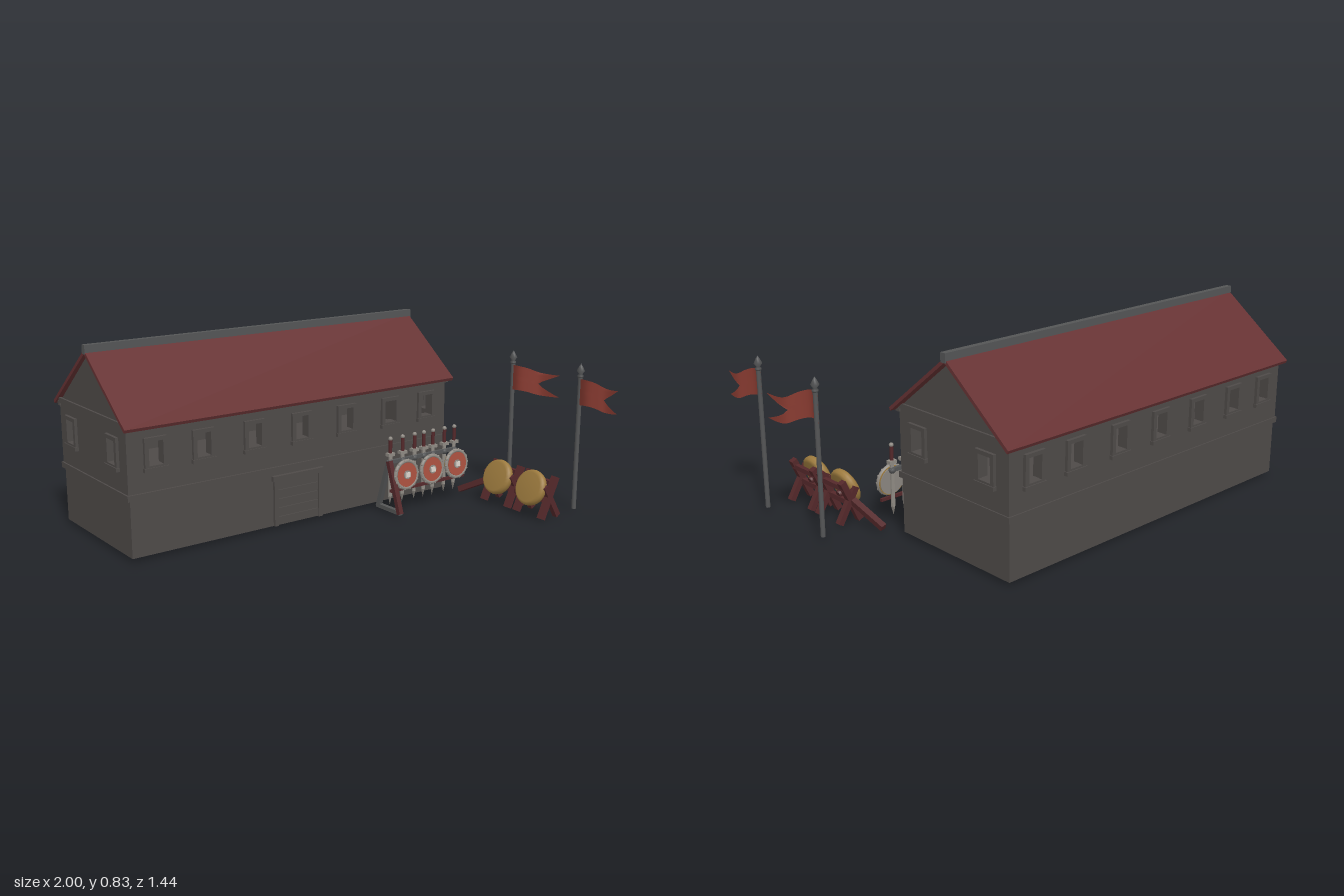
import * as THREE from 'three';

const mat = (name, color, side = THREE.FrontSide) => {
  const m = new THREE.MeshStandardMaterial({ color, side });
  m.name = name;
  return m;
};
const V = (x, y, z) => new THREE.Vector3(x, y, z);

export function createModel() {
  const root = new THREE.Group();
  root.name = 'longhouseYard';
  const stone = mat('wallGrey', 0x4e4a48);
  const roofRed = mat('roofRed', 0x663233);
  const iron = mat('ironGrey', 0x545556);
  const wood = mat('darkRedWood', 0x54282a);
  const straw = mat('straw', 0x9c7a3e);
  const cloth = mat('flagRed', 0x873a30, THREE.DoubleSide);
  const paint = mat('shieldRed', 0xa9503f);
  const steel = mat('paleSteel', 0x8f8a83);
  const ivory = mat('ivory', 0xd8d2c8);

  const add = (name, geo, m, x = 0, y = 0, z = 0, parent = root) => {
    const mesh = new THREE.Mesh(geo, m);
    mesh.name = name;
    mesh.position.set(x, y, z);
    parent.add(mesh);
    return mesh;
  };
  const group = (name, x = 0, y = 0, z = 0) => {
    const g = new THREE.Group();
    g.name = name;
    g.position.set(x, y, z);
    root.add(g);
    return g;
  };
  // box given by its extents
  const block = (name, m, x0, x1, y0, y1, z0, z1, parent = root) =>
    add(name, new THREE.BoxGeometry(x1 - x0, y1 - y0, z1 - z0), m, (x0 + x1) / 2, (y0 + y1) / 2, (z0 + z1) / 2, parent);
  // square beam between two points
  const beam = (name, m, a, b, w) => {
    const mid = a.clone().add(b).multiplyScalar(0.5);
    const mesh = add(name, new THREE.BoxGeometry(w, a.distanceTo(b), w), m, mid.x, mid.y, mid.z);
    mesh.quaternion.setFromUnitVectors(V(0, 1, 0), b.clone().sub(a).normalize());
    return mesh;
  };
  const poly = (pts) => new THREE.Shape(pts.map(([x, y]) => new THREE.Vector2(x, y)));
  const rect = (x0, x1, y0, y1) => poly([[x0, y0], [x1, y0], [x1, y1], [x0, y1]]);
  const extrude = (shape, depth) => new THREE.ExtrudeGeometry(shape, { depth, bevelEnabled: false });

  // ---- Lower storey, with a recess behind the door ----
  const C = -0.38, X0 = -0.98, X1 = 0.65;
  const plan = rect(X0, X1, 0.07, 0.685);
  plan.holes.push(rect(-0.32, -0.08, 0.1, 0.4));
  const lower = extrude(plan, 0.24);
  lower.rotateX(-Math.PI / 2);
  add('lowerStorey', lower, stone, 0, 0.013, 0);
  block('recessCeiling', stone, -0.33, -0.07, 0.22, 0.25, -0.41, -0.09);
  block('stringCourse', stone, X0 - 0.012, X1 + 0.012, 0.25, 0.275, -0.695, -0.063);

  // ---- Upper storey walls with window openings ----
  const wy0 = 0.382, wy1 = 0.48, hw = 0.034;
  const frontWindows = [-0.863, -0.647, -0.404, -0.166, 0.075, 0.323, 0.537];
  const endWindows = [-0.193, 0.193];
  const longWall = rect(-0.985, 0.657, 0.26, 0.55);
  frontWindows.forEach((x) => longWall.holes.push(rect(x - hw, x + hw, wy0, wy1)));
  const longGeo = extrude(longWall, 0.035);
  add('frontWall', longGeo, stone, 0, 0, -0.107);
  add('backWall', longGeo, stone, 0, 0, -0.69);

  const endWall = poly([[-0.308, 0.26], [0.308, 0.26], [0.308, 0.54], [0, 0.788], [-0.308, 0.54]]);
  endWindows.forEach((s) => endWall.holes.push(rect(s - hw, s + hw, wy0, wy1)));
  const endGeo = extrude(endWall, 0.035);
  endGeo.rotateY(Math.PI / 2);
  add('rightEndWall', endGeo, stone, -0.985, 0, C);
  add('leftEndWall', endGeo, stone, 0.622, 0, C);

  // window surround with a sill, facing +z
  const surround = rect(-0.05, 0.05, 0.368, 0.496);
  surround.holes.push(rect(-hw + 0.002, hw - 0.002, wy0, wy1));
  const frameGeo = extrude(surround, 0.016);
  const windowFrame = (x, z, turn) => {
    const g = group('windowFrame', x, 0, z);
    g.rotation.y = turn;
    add('surround', frameGeo, stone, 0, 0, 0, g);
    block('sill', stone, -0.054, 0.054, 0.358, 0.374, 0, 0.02, g);
  };
  frontWindows.forEach((x) => {
    windowFrame(x, -0.075, 0);
    windowFrame(x, -0.687, Math.PI);
  });
  endWindows.forEach((s) => {
    windowFrame(0.654, C + s, Math.PI / 2);
    windowFrame(-0.982, C + s, -Math.PI / 2);
  });

  // gable tie beams and eave plates
  for (const x of [-0.986, 0.658]) block('gableBeam', stone, x - 0.008, x + 0.008, 0.54, 0.562, C - 0.3, C + 0.3);
  for (const s of [-1, 1]) block('eavePlate', stone, -0.99, 0.665, 0.525, 0.545, C + s * 0.312 - 0.01, C + s * 0.312 + 0.01);

  // ---- Roof and ridge ----
  const roof = poly([[-0.33, 0.53], [0, 0.789], [0.33, 0.53], [0.336, 0.543], [0, 0.807], [-0.336, 0.543]]);
  const roofGeo = extrude(roof, 1.69);
  roofGeo.rotateY(Math.PI / 2);
  add('roof', roofGeo, roofRed, -0.998, 0, C - 0.008);
  block('ridgeCap', iron, -1, 0.697, 0.79, 0.828, C - 0.02, C + 0.006);

  // ---- Door ----
  for (let i = 0; i < 5; i++) {
    block('doorBoard', stone, -0.295, -0.08, 0.015 + i * 0.04, 0.051 + i * 0.04, -0.08, -0.064);
  }
  for (const x of [-0.303, -0.072]) block('doorPost', stone, x - 0.01, x + 0.01, 0.013, 0.22, -0.08, -0.058);
  block('lintel', stone, -0.322, -0.058, 0.215, 0.237, -0.08, -0.052);

  // ---- Weapon rack ----
  beam('rackFrontLeg', wood, V(0.222, 0.013, 0.135), V(0.222, 0.24, 0.055), 0.022);
  beam('rackBackLeg', iron, V(0.222, 0.013, -0.018), V(0.222, 0.24, 0.055), 0.02);
  block('rackFoot', iron, 0.212, 0.232, 0.01, 0.028, -0.025, 0.14);
  block('rackRail', iron, 0.215, 0.62, 0.226, 0.242, 0.043, 0.059);
  block('shieldRail', wood, 0.215, 0.655, 0.1, 0.113, 0.068, 0.08);

  [0.23, 0.3, 0.37, 0.425, 0.48, 0.55, 0.61].forEach((x) => {
    const g = group('sword', x, 0, 0.052);
    add('grip', new THREE.CylinderGeometry(0.008, 0.008, 0.06, 8), wood, 0, 0.306, 0, g);
    add('pommel', new THREE.SphereGeometry(0.01, 8, 6), steel, 0, 0.341, 0, g);
    block('guard', steel, -0.018, 0.018, 0.262, 0.276, -0.012, 0.012, g);
    block('blade', steel, -0.008, 0.008, 0.075, 0.262, -0.004, 0.004, g);
    const tip = add('bladeTip', new THREE.ConeGeometry(0.011, 0.04, 4), steel, 0, 0.056, 0, g);
    tip.rotation.x = Math.PI;
    add('hanger', new THREE.SphereGeometry(0.015, 8, 6), iron, 0, 0.232, 0, g);
  });

  [0.29, 0.44, 0.59].forEach((x) => {
    const g = group('shield', x, 0.175, 0.088);
    g.rotation.x = -0.08;
    const disc = (name, r, d, m, z) => {
      add(name, new THREE.CylinderGeometry(r, r, d, 28), m, 0, 0, z, g).rotation.x = Math.PI / 2;
    };
    disc('shieldBoard', 0.064, 0.014, straw, 0);
    disc('shieldBack', 0.06, 0.004, steel, -0.008);
    disc('shieldFace', 0.055, 0.006, paint, 0.009);
    add('shieldRim', new THREE.TorusGeometry(0.061, 0.009, 8, 28), steel, 0, 0, 0.004, g);
    for (let i = 0; i < 14; i++) {
      const a = (i / 14) * Math.PI * 2;
      add('rivet', new THREE.SphereGeometry(0.006, 6, 4), steel, Math.cos(a) * 0.066, Math.sin(a) * 0.066, 0.007, g);
    }
    disc('bossRing', 0.02, 0.006, steel, 0.011);
    block('boss', ivory, -0.012, 0.012, -0.011, 0.011, 0.01, 0.019, g);
  });

  // ---- Straw targets on crossed stands ----
  [0.255, 0.462].forEach((z) => {
    const g = group('target', 0.7, 0.13, z);
    g.rotation.z = -0.36;
    const disc = new THREE.LatheGeometry(
      [[0, -0.022], [0.066, -0.022], [0.078, -0.013], [0.081, 0], [0.078, 0.013], [0.066, 0.022], [0, 0.022]]
        .map(([r, h]) => new THREE.Vector2(r, h)), 28);
    add('strawDisc', disc, straw, 0, 0, 0, g).rotation.z = Math.PI / 2;
    add('backBoss', new THREE.CylinderGeometry(0.014, 0.02, 0.03, 8), wood, 0.032, -0.012, 0, g).rotation.z = -Math.PI / 2;
    for (const s of [-0.075, 0.075]) {
      beam('standLeg', wood, V(0.69, 0.005, z + s), V(0.772, 0.185, z + s), 0.027);
      beam('standBrace', wood, V(0.705, 0.15, z + s), V(0.79, 0.005, z + s), 0.025);
    }
    block('standTopBar', wood, 0.752, 0.772, 0.145, 0.165, z - 0.08, z + 0.08);
  });
  block('standCrossBar', wood, 0.718, 0.74, 0.072, 0.094, 0.17, 0.55);
  beam('looseBeam', wood, V(0.69, 0.015, 0.015), V(0.725, 0.095, 0.17), 0.026);

  // ---- Banners ----
  const banner = (pz, path) => {
    const g = group('banner', 0.91, 0, pz);
    add('pole', new THREE.CylinderGeometry(0.01, 0.01, 0.61, 10), iron, 0, 0.315, 0, g);
    const finial = [[0, 0], [0.012, 0], [0.014, 0.008], [0.008, 0.016], [0.018, 0.03], [0.008, 0.05], [0, 0.062]];
    add('finial', new THREE.LatheGeometry(finial.map(([r, h]) => new THREE.Vector2(r, h)), 10), iron, 0, 0.612, 0, g);
    // swallow-tailed cloth bent along the path
    const curve = new THREE.CatmullRomCurve3(path.map(([x, z]) => V(x, 0, z)));
    const geo = new THREE.PlaneGeometry(1, 1, 18, 8);
    const p = geo.attributes.position;
    for (let i = 0; i < p.count; i++) {
      const v = p.getY(i);
      const u = (p.getX(i) + 0.5) * (1 - 0.32 * (1 - Math.abs(2 * v)));
      const c = curve.getPoint(u);
      const y = 0.545 + v * (0.118 - 0.015 * u) - 0.015 * u + 0.01 * Math.sin(u * 6);
      p.setXYZ(i, c.x, y, c.z);
    }
    geo.computeVertexNormals();
    add('flag', geo, cloth, -0.91, 0, -pz, g);
  };
  banner(0.12, [[0.908, 0.11], [0.9, 0.17], [0.938, 0.212], [0.978, 0.24], [0.995, 0.335]]);
  banner(0.53, [[0.908, 0.52], [0.897, 0.58], [0.92, 0.625], [0.94, 0.655], [0.942, 0.715]]);

  return root;
}
